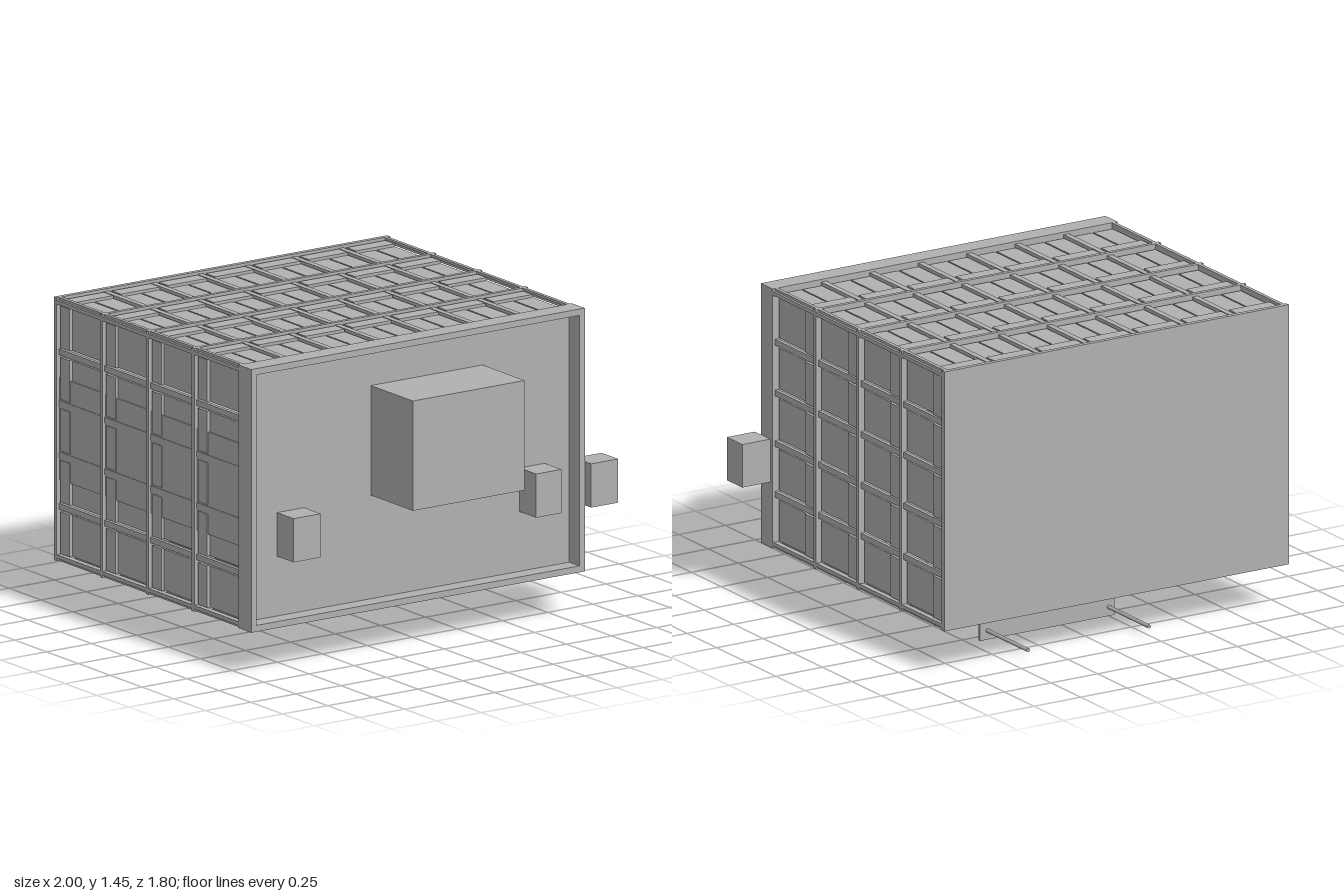
import * as THREE from 'three';

const grey = new THREE.MeshStandardMaterial({ color: 0xb0b0b0 });
grey.name = 'plain grey';

// Outer limits of the ribbed housing
const L = -1, R = 0.85, B = 0.21, T = 1.445, BACK = -0.9, FRONT = 0.65;
const WALL = 0.03;

// Box given by its lower and upper limits
function addBox(parent, name, x0, x1, y0, y1, z0, z1) {
  const mesh = new THREE.Mesh(new THREE.BoxGeometry(x1 - x0, y1 - y0, z1 - z0), grey);
  mesh.position.set((x0 + x1) / 2, (y0 + y1) / 2, (z0 + z1) / 2);
  mesh.name = name;
  parent.add(mesh);
}

// Each wall maps (u across, z along, d inward from the outer face) to a box
const walls = {
  top: (g, n, u0, u1, z0, z1, d0, d1) => addBox(g, n, u0, u1, T - d1, T - d0, z0, z1),
  bottom: (g, n, u0, u1, z0, z1, d0, d1) => addBox(g, n, u0, u1, B + d0, B + d1, z0, z1),
  left: (g, n, u0, u1, z0, z1, d0, d1) => addBox(g, n, R - d1, R - d0, u0, u1, z0, z1),
  right: (g, n, u0, u1, z0, z1, d0, d1) => addBox(g, n, L + d0, L + d1, u0, u1, z0, z1),
};

// Lattice wall: lengthwise rails, with loose panels and a cross strip in every cell
function latticeWall(name, u0, u1, columns, split) {
  const wall = new THREE.Group();
  wall.name = name + 'Wall';
  const put = walls[name];
  const pitch = (u1 - u0 - 0.028) / columns;
  const zPitch = 0.36;

  for (let i = 0; i <= columns; i++) {
    const u = u0 + i * pitch;
    if (i < columns) put(wall, 'rail', u, u + 0.028, BACK, FRONT - 0.1, 0.012, WALL);
    else put(wall, 'edgeRail', u + 0.016, u + 0.028, BACK, FRONT - 0.1, 0.012, WALL);
  }
  for (let i = 0; i < columns; i++) {
    const a = u0 + i * pitch + 0.038;
    const b = u0 + (i + 1) * pitch - 0.01;
    for (let j = 0; j < 4; j++) {
      const z = -0.877 + j * zPitch;
      put(wall, 'crossStrip', a - 0.002, b + 0.002, z + 0.014, z + 0.087, 0.01, 0.026);
      if (split) {
        const m = (a + b) / 2;
        put(wall, 'panel', a, m - 0.004, z + 0.092, z + 0.327, 0.022, 0.032);
        put(wall, 'panel', m + 0.004, b, z + 0.092, z + 0.327, 0.022, 0.032);
      } else {
        put(wall, 'panel', a, b, z + 0.092, z + 0.327, 0.022, 0.032);
      }
    }
  }
  return wall;
}

// Closed rectangular ring around the housing
function ring(parent, name, z0, z1) {
  const g = new THREE.Group();
  g.name = name;
  addBox(g, 'ringTop', L, R, T - WALL, T, z0, z1);
  addBox(g, 'ringBottom', L, R, B, B + WALL, z0, z1);
  addBox(g, 'ringSide', L, L + WALL, B + WALL, T - WALL, z0, z1);
  addBox(g, 'ringSide', R - WALL, R, B + WALL, T - WALL, z0, z1);
  parent.add(g);
}

export function createModel() {
  const model = new THREE.Group();
  model.name = 'ribbedHousing';

  // Back plate, rib rings and the deeper front frame
  addBox(model, 'backPlate', L, R, B, T, BACK, -0.877);
  for (let j = 1; j < 4; j++) {
    const z = -0.897 + j * 0.36;
    ring(model, 'ribRing', z, z + 0.02);
  }
  ring(model, 'frontFrame', 0.55, FRONT);
  addBox(model, 'frontPanel', L + WALL, R - WALL, B + WALL, T - WALL, 0.55, 0.57);

  // Four lattice walls
  model.add(latticeWall('top', L, R, 7, true));
  model.add(latticeWall('bottom', L, R, 7, true));
  model.add(latticeWall('left', B, T, 5, false));
  model.add(latticeWall('right', B, T, 5, false));

  // Block inside the housing, reaching into the right wall
  addBox(model, 'innerBlock', -0.985, 0.02, 0.59, 1.07, -0.88, 0.555);

  // Boxes on the front and the left side
  addBox(model, 'frontBox', -0.28, 0.34, 0.725, 1.24, 0.565, 0.9);
  addBox(model, 'smallBox', -0.8, -0.65, 0.52, 0.725, 0.565, 0.7);
  addBox(model, 'smallBox', 0.545, 0.685, 0.52, 0.725, 0.565, 0.7);
  addBox(model, 'sideBox', 0.85, 1, 0.52, 0.725, 0.57, 0.7);

  // Hanging plate below with two rods to the back
  addBox(model, 'hangingPlate', -0.28, 0.44, 0, 0.26, -0.557, -0.542);
  for (const x of [-0.25, 0.4]) {
    const rod = new THREE.Mesh(new THREE.CylinderGeometry(0.009, 0.009, 0.345, 12), grey);
    rod.rotation.x = Math.PI / 2;
    rod.position.set(x, 0.043, -0.7275);
    rod.name = 'rod';
    model.add(rod);
  }
  return model;
}
